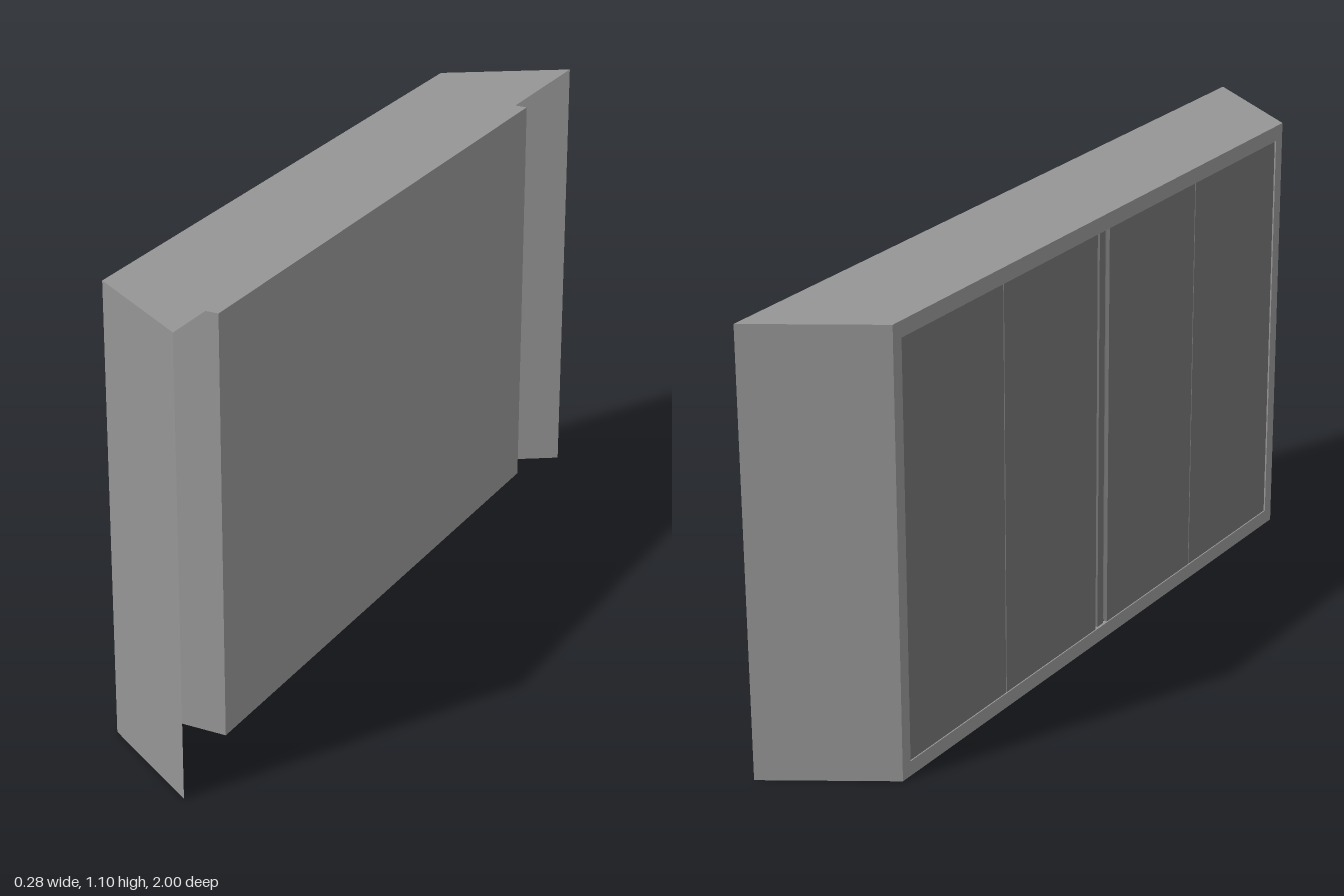
import * as THREE from 'three';

const H = 1.096;            // overall height
const XB = -0.14, XF = 0.14; // closed face and open edge of the hood
const ZB = 0.82, ZF = 1.0;   // half widths at those two planes

export function createModel() {
  const model = new THREE.Group();
  const grey = new THREE.MeshStandardMaterial({ color: 0x959595, side: THREE.DoubleSide });
  grey.name = 'casing grey';
  const dark = new THREE.MeshStandardMaterial({ color: 0x737373 });
  dark.name = 'door grey';

  const add = (name, geometry, material) => {
    const mesh = new THREE.Mesh(geometry, material);
    mesh.name = name;
    model.add(mesh);
    return mesh;
  };
  const box = (name, mat, x0, x1, y0, y1, z0, z1) => {
    const mesh = add(name, new THREE.BoxGeometry(x1 - x0, y1 - y0, z1 - z0), mat);
    mesh.position.set((x0 + x1) / 2, (y0 + y1) / 2, (z0 + z1) / 2);
    return mesh;
  };
  // flat four-cornered sheet, corners anticlockwise from outside
  const sheet = (name, a, b, c, d) => {
    const g = new THREE.BufferGeometry();
    g.setAttribute('position', new THREE.Float32BufferAttribute([...a, ...b, ...c, ...d], 3));
    g.setIndex([0, 1, 2, 0, 2, 3]);
    g.computeVertexNormals();
    return add(name, g, grey);
  };

  // open hood: top sheet and two splayed ends
  sheet('topPanel', [XB, H, ZB], [XF, H, ZF], [XF, H, -ZF], [XB, H, -ZB]);
  sheet('leftEndPanel', [XB, 0, ZB], [XF, 0, ZF], [XF, H, ZF], [XB, H, ZB]);
  sheet('rightEndPanel', [XF, 0, -ZF], [XB, 0, -ZB], [XB, H, -ZB], [XF, H, -ZF]);

  // face frame around the doors
  const y0 = 0.037, y1 = 1.057, zIn = 0.79;
  const frame = new THREE.Shape();
  frame.moveTo(-ZB, 0).lineTo(ZB, 0).lineTo(ZB, H).lineTo(-ZB, H).closePath();
  const hole = new THREE.Path();
  hole.moveTo(-zIn, y0).lineTo(-zIn, y1).lineTo(zIn, y1).lineTo(zIn, y0).closePath();
  frame.holes.push(hole);
  const faceFrame = add('faceFrame', new THREE.ShapeGeometry(frame), grey);
  faceFrame.rotation.y = -Math.PI / 2;
  faceFrame.position.x = XB;

  // cabinet body standing inside the hood
  box('cabinetBody', grey, -0.128, 0.12, 0.04, 1.055, -0.78, 0.78);
  // shallow reveal joining frame and body
  for (const s of [-1, 1]) {
    const z = s * zIn;
    sheet('sideReveal', [XB, y0, z], [-0.128, y0, z], [-0.128, y1, z], [XB, y1, z]);
    const y = s < 0 ? y0 : y1;
    sheet('endReveal', [XB, y, -zIn], [-0.128, y, -zIn], [-0.128, y, zIn], [XB, y, zIn]);
  }

  // two pairs of folding doors with a narrow post between them
  const gap = 0.024, seam = 0.003, width = (zIn - gap) / 2;
  for (const s of [-1, 1]) {
    for (let i = 0; i < 2; i++) {
      const a = s * (gap + i * width + seam / 2), b = s * (gap + (i + 1) * width - seam / 2);
      box('doorPanel', dark, -0.137, -0.128, y0, y1, Math.min(a, b), Math.max(a, b));
    }
  }
  box('centrePost', dark, -0.134, -0.127, y0, y1, -0.012, 0.012);

  return model;
}
